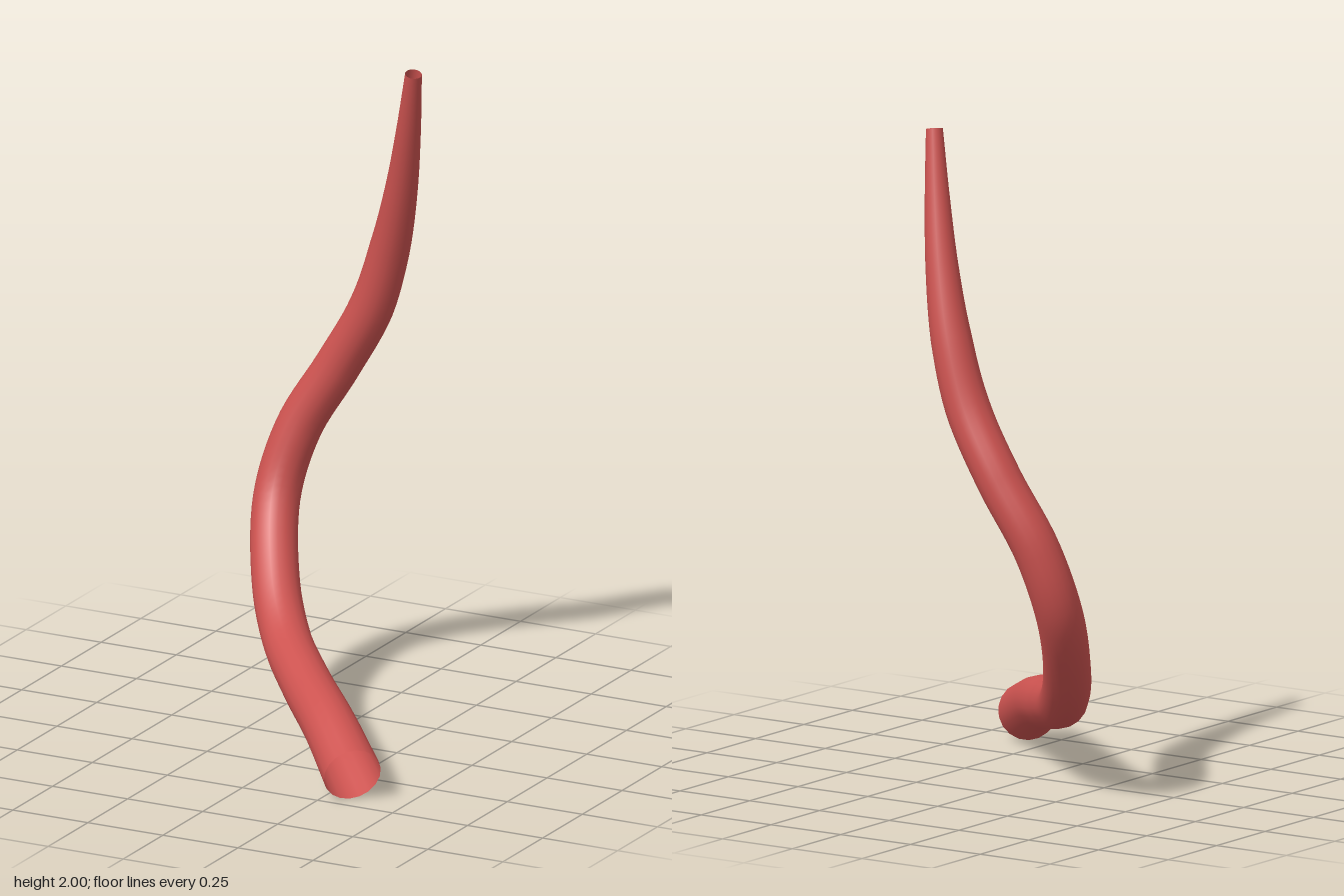
import * as THREE from 'three';

// Centre line points with the tube radius at each: x, y, z, radius
const PATH = [
  [0.345, 0.085, 0.46, 0.087],
  [0.18, 0.16, 0.29, 0.080],
  [0.0, 0.21, 0.10, 0.076],
  [-0.16, 0.27, -0.08, 0.073],
  [-0.27, 0.39, -0.22, 0.071],
  [-0.345, 0.60, -0.37, 0.070],
  [-0.305, 0.80, -0.43, 0.069],
  [-0.19, 1.0, -0.457, 0.068],
  [-0.075, 1.2, -0.452, 0.067],
  [-0.005, 1.4, -0.437, 0.061],
  [0.05, 1.6, -0.405, 0.049],
  [0.095, 1.8, -0.365, 0.037],
  [0.133, 1.994, -0.325, 0.025],
];

// Tube whose rings shrink along the path; both ends stay open
function taperedTube(path, segments, sides) {
  const curve = new THREE.CatmullRomCurve3(path.map(([x, y, z]) => new THREE.Vector3(x, y, z)));
  const geometry = new THREE.TubeGeometry(curve, segments, 1, sides, false);
  const position = geometry.attributes.position;
  const v = new THREE.Vector3();
  for (let i = 0; i <= segments; i++) {
    const u = i / segments;
    const t = curve.getUtoTmapping(u) * (path.length - 1);
    const k = Math.min(Math.floor(t), path.length - 2);
    const radius = THREE.MathUtils.lerp(path[k][3], path[k + 1][3], t - k);
    const centre = curve.getPointAt(u);
    for (let j = 0; j <= sides; j++) {
      const n = i * (sides + 1) + j;
      v.fromBufferAttribute(position, n).sub(centre).multiplyScalar(radius).add(centre);
      position.setXYZ(n, v.x, v.y, v.z);
    }
  }
  return geometry;
}

export function createModel() {
  const model = new THREE.Group();
  model.name = 'curvedTube';
  const red = new THREE.MeshStandardMaterial({ color: 0xcd5350, side: THREE.DoubleSide });
  red.name = 'softRed';

  const tube = new THREE.Mesh(taperedTube(PATH, 80, 18), red);
  tube.name = 'taperedTube';
  model.add(tube);
  return model;
}
